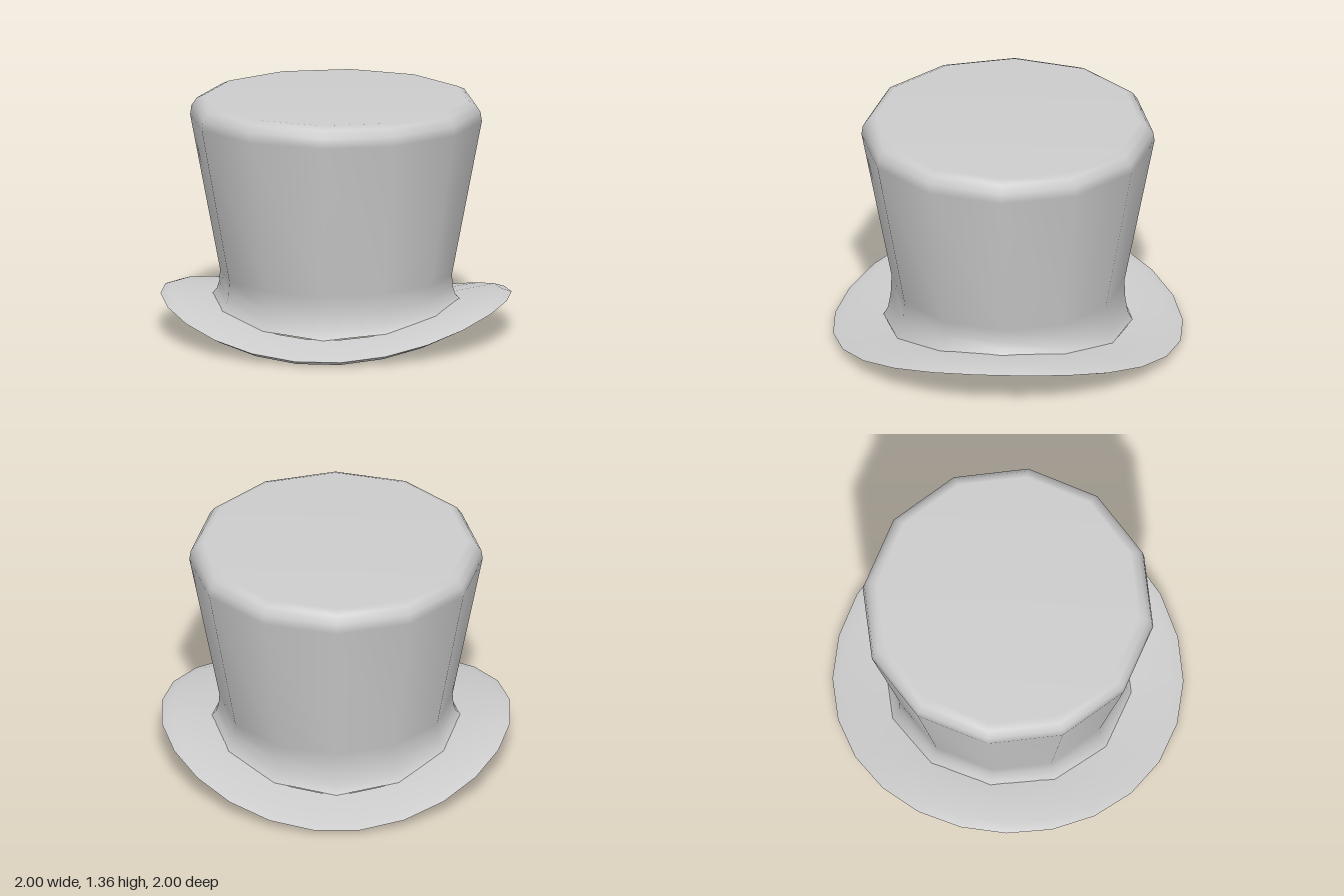
import * as THREE from 'three';
import { mergeVertices, toCreasedNormals } from 'three/addons/utils/BufferGeometryUtils.js';

// Lathe whose rings are bent into a saddle: each profile point is [radius, height, saddle amount]
function bentLathe(profile, sides, phiStart) {
  const points = profile.map(([r, y]) => new THREE.Vector2(r, y));
  const geometry = new THREE.LatheGeometry(points, sides, phiStart);
  const pos = geometry.attributes.position;
  for (let i = 0; i < pos.count; i++) {
    const bend = profile[i % profile.length][2];
    const angle = Math.atan2(pos.getZ(i), pos.getX(i));
    pos.setY(i, pos.getY(i) + bend * Math.cos(2 * angle));
  }
  geometry.deleteAttribute('normal');
  geometry.deleteAttribute('uv');
  const welded = mergeVertices(geometry, 1e-4);
  welded.computeVertexNormals();
  return welded;
}

export function createModel() {
  const hat = new THREE.Group();
  hat.name = 'topHat';
  const material = new THREE.MeshStandardMaterial({ color: 0xcccccc, side: THREE.DoubleSide });

  // Crown: flared foot that follows the brim, widening wall, rounded shoulder, flat top
  const crown = new THREE.Mesh(bentLathe([
    [0.715, 0.143, 0.055],
    [0.69, 0.18, 0.045],
    [0.675, 0.245, 0.025],
    [0.67, 0.34, 0],
    [0.843, 1.245, 0],
    [0.835, 1.3, 0],
    [0.805, 1.345, 0],
    [0.76, 1.365, 0],
    [0, 1.365, 0],
  ], 12, 0), material);
  crown.name = 'crown';
  hat.add(crown);

  // Brim: thick ring, sides curled up, front and back dipping, bevelled outer edge
  const brim = new THREE.Mesh(toCreasedNormals(bentLathe([
    [0.695, 0.106, 0.052],
    [0.958, 0.098, 0.1],
    [1.0086, 0.122, 0.1],
    [0.95, 0.143, 0.097],
    [0.695, 0.143, 0.055],
    [0.695, 0.106, 0.052],
  ], 24, Math.PI / 24), 0.6), material);
  brim.name = 'brim';
  hat.add(brim);

  return hat;
}
